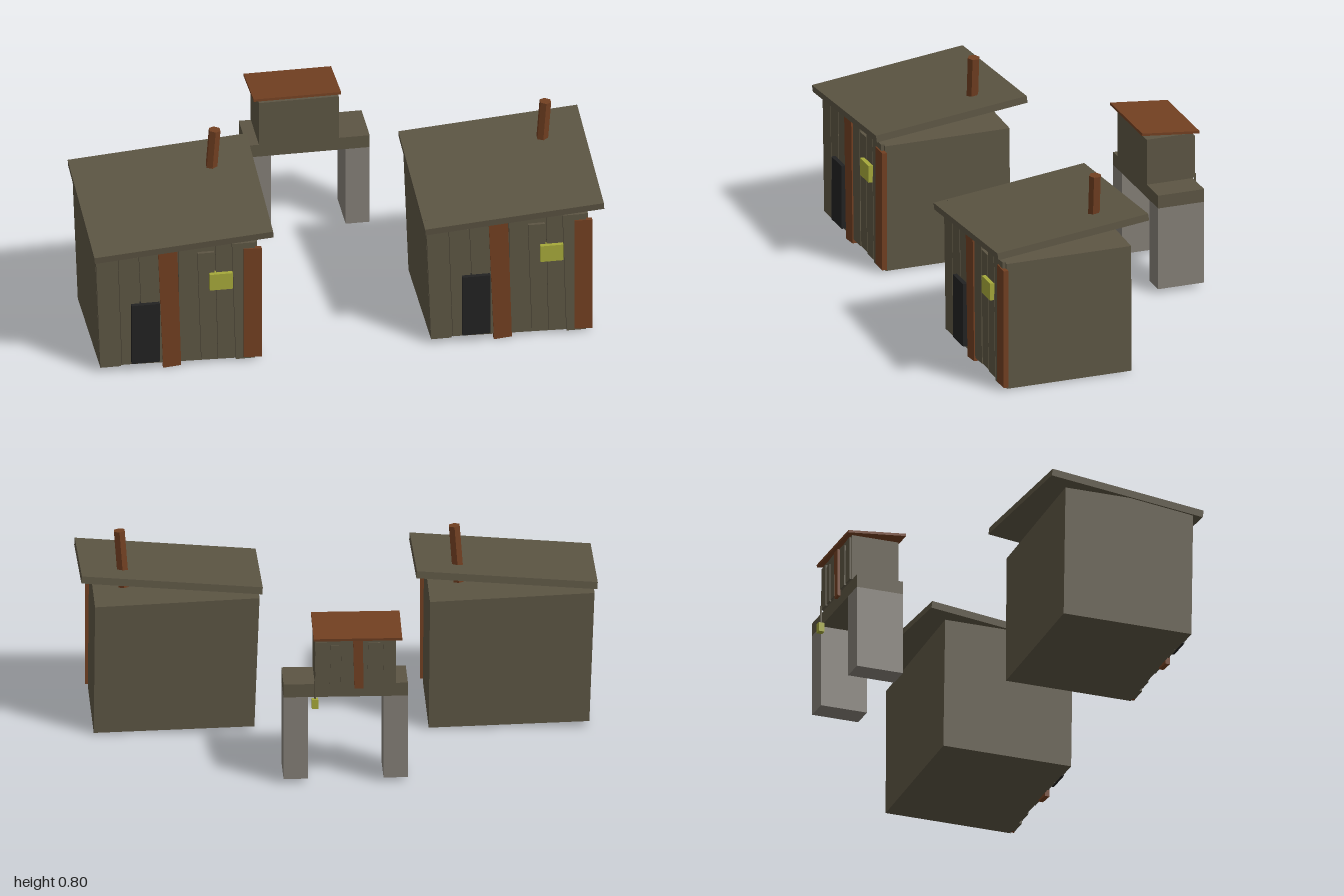
import * as THREE from 'three';

const mat = (name, color) => Object.assign(new THREE.MeshStandardMaterial({ color }), { name });
const wood = mat('weathered wood', 0x5c5543);
const rust = mat('rusty brown', 0x713f21);
const dark = mat('dark doorway', 0x222222);
const glow = mat('yellow light', 0xa5a83a);
const stone = mat('grey stone', 0x837e76);

function add(group, name, geometry, material, x = 0, y = 0, z = 0, rx = 0, rz = 0) {
  const mesh = new THREE.Mesh(geometry, material);
  mesh.name = name;
  mesh.position.set(x, y, z);
  mesh.rotation.set(rx, 0, rz);
  group.add(mesh);
  return mesh;
}

// Box given by its lower and upper limits on each axis
function block(group, name, material, [x0, x1], [y0, y1], [z0, z1]) {
  return add(group, name, new THREE.BoxGeometry(x1 - x0, y1 - y0, z1 - z0), material,
    (x0 + x1) / 2, (y0 + y1) / 2, (z0 + z1) / 2);
}

// Crooked outline in the x-y plane, extruded from z0 to z1
function slab(group, name, material, points, z0, z1) {
  const shape = new THREE.Shape(points.map(([x, y]) => new THREE.Vector2(x, y)));
  const geometry = new THREE.ExtrudeGeometry(shape, { depth: z1 - z0, bevelEnabled: false });
  return add(group, name, geometry, material, 0, 0, z0);
}

// Shed with a leaning body, board front, sloping roof and stovepipe
function createHut(name, x) {
  const hut = new THREE.Group();
  hut.name = name;
  hut.position.x = x;

  slab(hut, 'body', wood, [[-0.32, 0.025], [0.3, 0.008], [0.295, 0.525], [-0.34, 0.552]], 0.015, 0.53);

  // Uneven front boards: bottom left, bottom right, top right, top left, with y limits
  const boards = [
    [-0.32, -0.24, -0.255, -0.338, 0.025, 0.525],
    [-0.235, -0.155, -0.175, -0.25, 0.03, 0.505],
    [-0.15, -0.06, -0.09, -0.17, 0.03, 0.53],
    [-0.01, 0.065, 0.055, -0.015, 0.025, 0.535],
    [0.075, 0.135, 0.125, 0.06, 0.03, 0.5],
    [0.14, 0.205, 0.19, 0.13, 0.022, 0.535],
    [0.21, 0.285, 0.285, 0.195, 0.012, 0.53],
  ];
  for (const [bl, br, tr, tl, y0, y1] of boards) {
    slab(hut, 'frontBoard', wood, [[bl, y0], [br, y0], [tr, y1], [tl, y1]], 0.529, 0.543);
  }

  // Rusty upright planks
  slab(hut, 'middlePlank', rust, [[-0.075, 0.004], [-0.005, 0.01], [-0.02, 0.522], [-0.095, 0.516]], 0.529, 0.548);
  slab(hut, 'cornerPlank', rust, [[0.24, 0.02], [0.31, 0.017], [0.31, 0.503], [0.24, 0.506]], 0.529, 0.548);

  block(hut, 'door', dark, [-0.2, -0.09], [0.04, 0.3], [0.529, 0.56]);
  block(hut, 'window', glow, [0.105, 0.195], [0.34, 0.41], [0.529, 0.56]);

  add(hut, 'roof', new THREE.BoxGeometry(0.7, 0.028, 0.628), wood, 0, 0.594, 0.272, 0.118, 0.078);
  const pipe = new THREE.CylinderGeometry(0.024, 0.024, 0.23, 6).toNonIndexed();
  pipe.computeVertexNormals();
  add(hut, 'stovepipe', pipe, rust, 0.188, 0.684, 0.126, 0, -0.075);
  return hut;
}

// Small cabin on two stone piers, its boarded side facing the back
function createGatehouse() {
  const gate = new THREE.Group();
  gate.name = 'gatehouse';
  for (const side of [-1, 1]) {
    block(gate, 'pier', stone, side < 0 ? [-0.242, -0.148] : [0.144, 0.238], [0.022, 0.358], [-0.56, -0.37]);
  }
  block(gate, 'platform', wood, [-0.242, 0.238], [0.358, 0.411], [-0.56, -0.37]);
  block(gate, 'cabin', wood, [-0.195, 0.117], [0.411, 0.598], [-0.562, -0.37]);

  // Back boards with gaps of uneven width
  [[0.07, 0.117, 0.585], [0.025, 0.06, 0.57], [-0.02, 0.018, 0.59],
    [-0.135, -0.085, 0.58], [-0.19, -0.145, 0.59]].forEach(([x0, x1, top], i) => {
    slab(gate, 'backBoard', wood,
      [[x0 + 0.004 * (i % 2), 0.413], [x1, 0.413], [x1 - 0.004, top], [x0, top]], -0.57, -0.561);
  });
  slab(gate, 'backPlank', rust, [[-0.07, 0.395], [-0.035, 0.395], [-0.03, 0.592], [-0.068, 0.592]], -0.573, -0.561);

  add(gate, 'gatehouseRoof', new THREE.BoxGeometry(0.342, 0.01, 0.238), rust, -0.048, 0.612, -0.467, -0.1, 0);

  // Hanging lantern
  block(gate, 'lanternCord', wood, [0.114, 0.12], [0.35, 0.43], [-0.573, -0.567]);
  block(gate, 'lantern', glow, [0.105, 0.13], [0.318, 0.355], [-0.584, -0.561]);
  return gate;
}

export function createModel() {
  const model = new THREE.Group();
  model.name = 'shanties';
  model.add(createHut('rightHut', -0.648), createHut('leftHut', 0.645), createGatehouse());
  return model;
}
